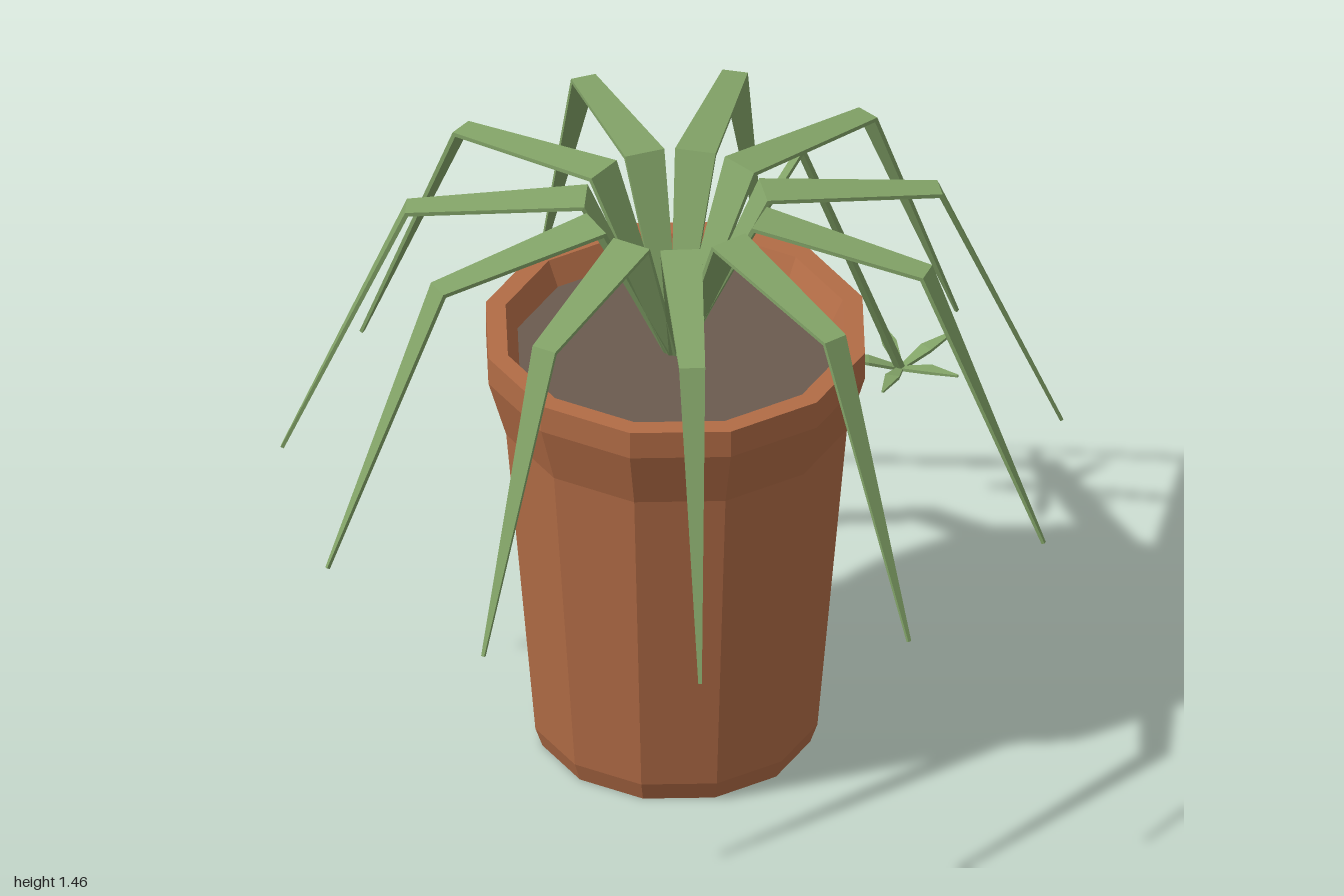
import * as THREE from 'three';

const terracotta = new THREE.MeshStandardMaterial({ color: 0xb26c46 });
terracotta.name = 'terracotta';
const earth = new THREE.MeshStandardMaterial({ color: 0x6b5b4f });
earth.name = 'earth';
const leafGreen = new THREE.MeshStandardMaterial({ color: 0x83a468 });
leafGreen.name = 'leafGreen';

// Faceted normals
function flat(geometry) {
  const g = geometry.index ? geometry.toNonIndexed() : geometry;
  g.computeVertexNormals();
  return g;
}

// Bent strip with a rectangular section; stations are [radius, height, width, thickness]
function bladeGeometry(stations) {
  const pts = stations.map(([r, y]) => new THREE.Vector2(r, y));
  const last = pts.length - 1;
  const positions = [];
  stations.forEach(([r, y, w, t], i) => {
    const dir = new THREE.Vector2();
    if (i > 0) dir.add(pts[i].clone().sub(pts[i - 1]).normalize());
    if (i < last) dir.add(pts[i + 1].clone().sub(pts[i]).normalize());
    dir.normalize().multiplyScalar(t / 2);
    for (const [up, side] of [[1, 1], [1, -1], [-1, -1], [-1, 1]]) {
      positions.push(r - dir.y * up, y + dir.x * up, side * w / 2);
    }
  });
  const index = [0, 1, 2, 0, 2, 3];
  for (let i = 0; i < last; i++) {
    for (let k = 0; k < 4; k++) {
      const a = i * 4 + k, b = i * 4 + (k + 1) % 4;
      index.push(a, a + 4, b, b, a + 4, b + 4);
    }
  }
  const e = last * 4;
  index.push(e, e + 2, e + 1, e, e + 3, e + 2);
  const g = new THREE.BufferGeometry();
  g.setAttribute('position', new THREE.Float32BufferAttribute(positions, 3));
  g.setIndex(index);
  return flat(g);
}

function part(name, geometry, material) {
  const mesh = new THREE.Mesh(geometry, material);
  mesh.name = name;
  return mesh;
}

// Evenly spread blades around a centre
function rosette(name, geometry, count, startDegrees) {
  const group = new THREE.Group();
  group.name = name;
  for (let i = 0; i < count; i++) {
    const leaf = part('leaf' + (i + 1), geometry, leafGreen);
    leaf.rotation.y = -(THREE.MathUtils.degToRad(startDegrees) + i * Math.PI * 2 / count);
    group.add(leaf);
  }
  return group;
}

export function createModel() {
  const model = new THREE.Group();
  model.name = 'pottedPlant';
  const plant = new THREE.Group();
  plant.name = 'potAndPlant';
  plant.position.x = -0.12;
  model.add(plant);

  // Twelve-sided pot with flared rim and open inside
  const profile = [
    [0, 0], [0.32, 0], [0.337, 0.05], [0.407, 0.88], [0.45, 1.03],
    [0.45, 1.1], [0.403, 1.1], [0.365, 1.02],
  ].map(([x, y]) => new THREE.Vector2(x, y));
  plant.add(part('pot', flat(new THREE.LatheGeometry(profile, 12)), terracotta));

  // Soil
  const soil = part('soil', new THREE.CircleGeometry(0.375, 12), earth);
  soil.rotation.x = -Math.PI / 2;
  soil.position.y = 1.04;
  plant.add(soil);

  // Arching leaves
  const leaf = bladeGeometry([
    [0.015, 1.03, 0.03, 0.012],
    [0.21, 1.45, 0.096, 0.012],
    [0.62, 1.4, 0.06, 0.012],
    [0.91, 0.72, 0.008, 0.008],
  ]);
  plant.add(rosette('leaves', leaf, 11, 2));

  // Hanging runner
  const runner = part('runner', bladeGeometry([
    [0, 1.04, 0.018, 0.016],
    [0.545, 1.283, 0.018, 0.016],
    [0.975, 0.435, 0.018, 0.016],
  ]), leafGreen);
  runner.rotation.y = THREE.MathUtils.degToRad(11.4);
  plant.add(runner);

  // Small plantlet at the runner's end
  const smallLeaf = bladeGeometry([
    [0, 0, 0.012, 0.008],
    [0.075, 0.025, 0.034, 0.008],
    [0.158, 0.037, 0.005, 0.005],
  ]);
  const plantlet = rosette('plantlet', smallLeaf, 5, 8);
  plantlet.position.set(0.958, 0.432, -0.192);
  plant.add(plantlet);

  return model;
}
